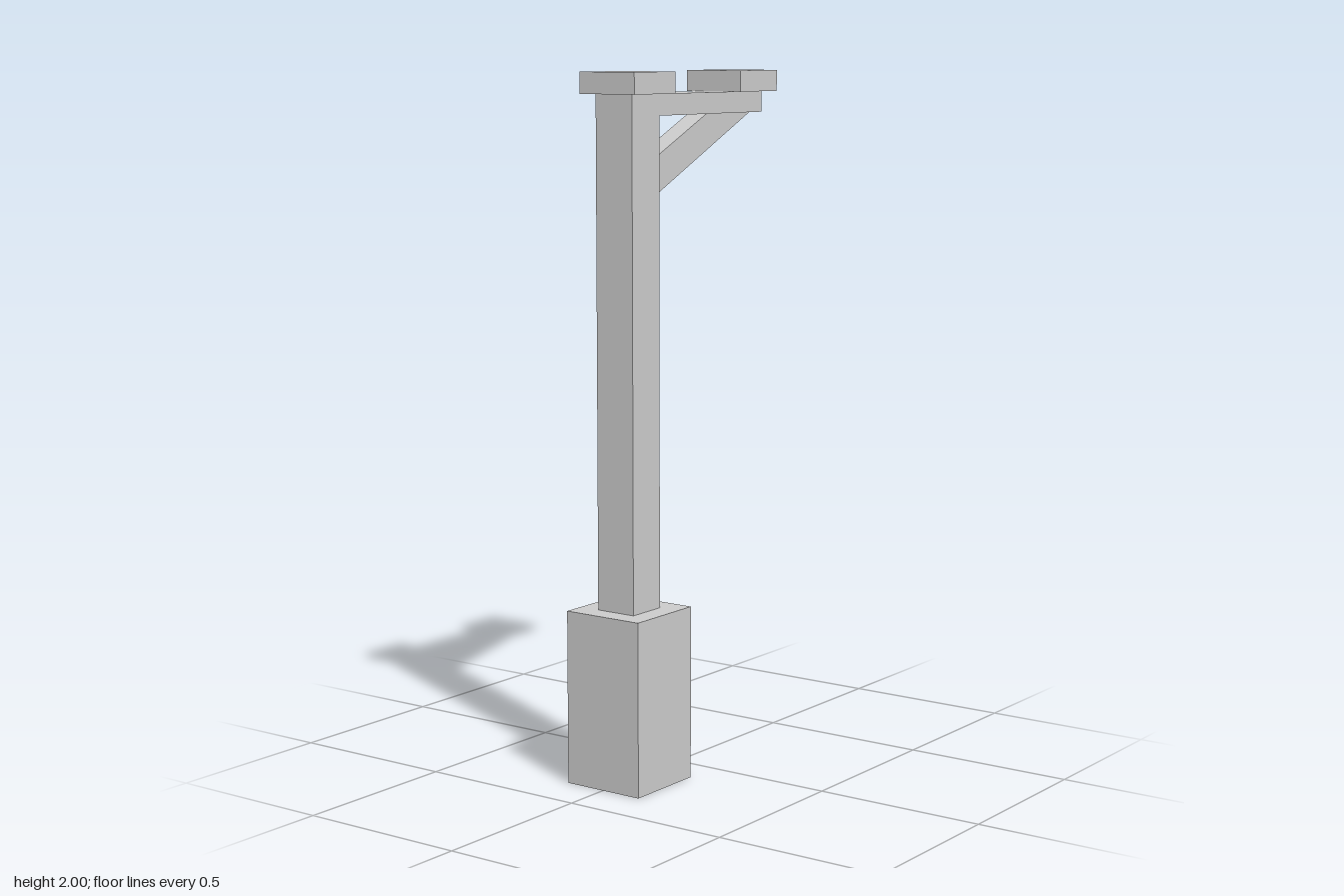
import * as THREE from 'three';

const material = new THREE.MeshStandardMaterial({ color: 0xcccccc, flatShading: true });

// Box given by its width in x and its extents in y and z
function block(name, width, y0, y1, z0, z1) {
  const mesh = new THREE.Mesh(new THREE.BoxGeometry(width, y1 - y0, z1 - z0), material);
  mesh.name = name;
  mesh.position.set(0, (y0 + y1) / 2, (z0 + z1) / 2);
  return mesh;
}

export function createModel() {
  const group = new THREE.Group();
  group.name = 'lampPost';

  // Footing, upright and the arm reaching backwards
  group.add(
    block('base', 0.249, 0, 0.5, 0.109, 0.358),
    block('post', 0.124, 0.5, 1.94, 0.172, 0.296),
    block('arm', 0.124, 1.88, 1.94, -0.326, 0.172),
    block('postCap', 0.187, 1.94, 2, 0.14, 0.327),
    block('armCap', 0.187, 1.94, 2, -0.358, -0.172)
  );

  // Slanted brace: side profile in (z, y), cut to meet the post and the arm
  const profile = new THREE.Shape([
    [0.172, 1.649], [0.172, 1.754], [-0.095, 1.88], [-0.31, 1.88],
  ].map(([z, y]) => new THREE.Vector2(z, y)));
  const width = 0.064;
  const geometry = new THREE.ExtrudeGeometry(profile, { depth: width, bevelEnabled: false });
  geometry.translate(0, 0, -width / 2).rotateY(-Math.PI / 2);
  const brace = new THREE.Mesh(geometry, material);
  brace.name = 'brace';
  group.add(brace);

  return group;
}
